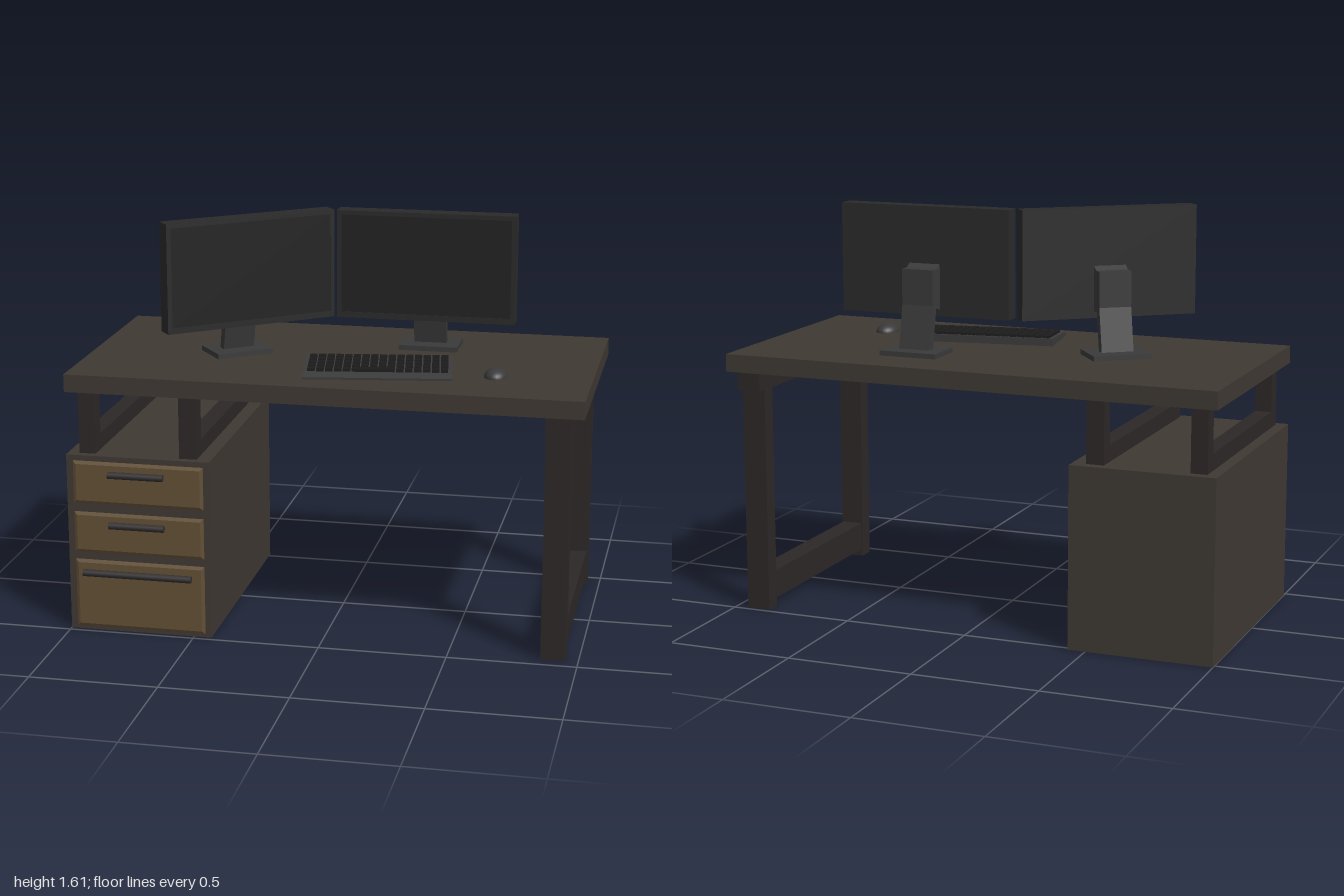
import * as THREE from 'three';
import { mergeGeometries } from 'three/addons/utils/BufferGeometryUtils.js';

const mat = (color) => new THREE.MeshStandardMaterial({ color });
const wood = mat(0x3f3933), steel = mat(0x2d2828), tan = mat(0x635036);
const shell = mat(0x2a2a2a), screenMat = mat(0x222222), stand = mat(0x3a3a3a);
const keyMat = mat(0x1c1c1c), handleMat = mat(0x332f30);

function add(parent, name, geometry, material) {
  const mesh = new THREE.Mesh(geometry, material);
  mesh.name = name;
  parent.add(mesh);
  return mesh;
}

// Box from its limits on each axis
function boxGeo([x0, x1], [y0, y1], [z0, z1]) {
  return new THREE.BoxGeometry(x1 - x0, y1 - y0, z1 - z0)
    .translate((x0 + x1) / 2, (y0 + y1) / 2, (z0 + z1) / 2);
}
const box = (parent, name, x, y, z, material) => add(parent, name, boxGeo(x, y, z), material);

// Side profile of [z, y] points, extruded across x and centred on x = 0
function profile(points, width) {
  const shape = new THREE.Shape(points.map(([z, y]) => new THREE.Vector2(z, y)));
  return new THREE.ExtrudeGeometry(shape, { depth: width, bevelEnabled: false })
    .rotateY(-Math.PI / 2).translate(width / 2, 0, 0);
}

function rectangle(path, x0, y0, x1, y1) {
  path.moveTo(x0, y0).lineTo(x1, y0).lineTo(x1, y1).lineTo(x0, y1).closePath();
  return path;
}

// Drawer front with a bevelled face and a round bar handle
function makeDrawer(y0, y1, handleY, handleX0, handleX1) {
  const drawer = new THREE.Group();
  drawer.name = 'drawer';
  const shape = rectangle(new THREE.Shape(), -0.96, y0 + 0.015, -0.465, y1 - 0.015);
  const front = new THREE.ExtrudeGeometry(shape, {
    depth: 0.004, bevelSize: 0.012, bevelThickness: 0.006, bevelSegments: 1,
  }).translate(0, 0, 0.482);
  add(drawer, 'drawerFront', front, tan);
  const length = handleX1 - handleX0;
  const bar = add(drawer, 'handleBar',
    new THREE.CylinderGeometry(0.014, 0.014, length, 12).rotateZ(Math.PI / 2), handleMat);
  bar.position.set((handleX0 + handleX1) / 2, handleY, 0.51);
  for (const x of [handleX0 + 0.03, handleX1 - 0.03])
    box(drawer, 'handlePost', [x - 0.008, x + 0.008], [handleY - 0.008, handleY + 0.008], [0.48, 0.51], handleMat);
  return drawer;
}

// Monitor with its front face centred on the local z = 0 plane
function makeMonitor(x, z, angle) {
  const monitor = new THREE.Group();
  monitor.name = 'monitor';
  box(monitor, 'monitorBody', [-0.355, 0.355], [0.14, 0.57], [-0.07, -0.006], shell);
  const frame = rectangle(new THREE.Shape(), -0.355, 0.14, 0.355, 0.57);
  frame.holes.push(rectangle(new THREE.Path(), -0.337, 0.163, 0.337, 0.553));
  add(monitor, 'bezel', new THREE.ExtrudeGeometry(frame, { depth: 0.006, bevelEnabled: false })
    .translate(0, 0, -0.006), shell);
  box(monitor, 'screen', [-0.337, 0.337], [0.163, 0.553], [-0.008, -0.003], screenMat);
  add(monitor, 'standNeck', profile([
    [-0.07, 0.345], [-0.095, 0.33], [-0.14, 0.33], [-0.14, 0.19], [-0.175, 0.018],
    [-0.14, 0.018], [-0.107, 0.175], [-0.07, 0.165],
  ], 0.13), stand);
  box(monitor, 'standBase', [-0.118, 0.118], [0, 0.02], [-0.24, -0.07], stand);
  monitor.position.set(x, 1.035, z);
  monitor.rotation.y = angle;
  return monitor;
}

function makeKeyboard() {
  const keyboard = new THREE.Group();
  keyboard.name = 'keyboard';
  add(keyboard, 'keyboardBody', profile([
    [0.13, 0], [0.13, 0.008], [0.09, 0.02], [-0.13, 0.03], [-0.13, 0],
  ], 0.572), stand);
  const keys = [], columns = 16, pitch = 0.034;
  for (let row = 0; row < 5; row++) {
    const z = -0.1 + row * 0.042, y = 0.031 - row * 0.0019;
    for (let c = 0; c < columns; c++) {
      // The bottom row holds one long space bar
      if (row === 4 && c > 4 && c < 10) continue;
      const x = (c - (columns - 1) / 2) * pitch;
      keys.push(boxGeo([x - 0.014, x + 0.014], [y - 0.008, y + 0.008], [z - 0.017, z + 0.017]));
    }
    if (row === 4) keys.push(boxGeo([-0.099, 0.065], [y - 0.008, y + 0.008], [z - 0.017, z + 0.017]));
  }
  add(keyboard, 'keys', mergeGeometries(keys), keyMat);
  keyboard.position.set(0.176, 1.035, 0.198);
  keyboard.rotation.y = 0.149;
  return keyboard;
}

export function createModel() {
  const model = new THREE.Group();
  model.name = 'desk';

  box(model, 'tabletop', [-1, 1], [0.965, 1.035], [-0.52, 0.48], wood);

  // Open leg frame at the left end
  const legFrame = new THREE.Group();
  legFrame.name = 'legFrame';
  model.add(legFrame);
  const postDepths = [[0.38, 0.45], [-0.48, -0.415]];
  for (const z of postDepths) box(legFrame, 'leg', [0.855, 0.95], [0, 0.9], z, steel);
  box(legFrame, 'topRail', [0.855, 0.95], [0.895, 0.965], [-0.52, 0.48], steel);
  box(legFrame, 'bottomRail', [0.86, 0.945], [0.03, 0.145], [-0.415, 0.38], steel);

  // Drawer cabinet and the short posts that carry the top
  const cabinet = new THREE.Group();
  cabinet.name = 'cabinet';
  model.add(cabinet);
  box(cabinet, 'cabinetBody', [-1, -0.43], [0, 0.715], [-0.52, 0.48], wood);
  for (const x of [[-0.955, -0.89], [-0.555, -0.485]]) {
    for (const z of postDepths) box(cabinet, 'supportPost', x, [0.715, 0.965], z, steel);
    box(cabinet, 'supportRail', x, [0.715, 0.78], [-0.415, 0.38], steel);
  }
  cabinet.add(
    makeDrawer(0.52, 0.697, 0.65, -0.825, -0.605),
    makeDrawer(0.32, 0.49, 0.445, -0.825, -0.605),
    makeDrawer(0.012, 0.295, 0.245, -0.935, -0.5),
  );

  model.add(makeMonitor(0.31, -0.085, 0), makeMonitor(-0.338, 0.122, 0.656), makeKeyboard());

  // Domed mouse with a flat base
  const mouse = add(model, 'mouse', mergeGeometries([
    new THREE.SphereGeometry(1, 24, 10, 0, Math.PI * 2, 0, Math.PI / 2),
    new THREE.CircleGeometry(1, 24).rotateX(Math.PI / 2),
  ]), stand);
  mouse.scale.set(0.045, 0.034, 0.06);
  mouse.position.set(0.63, 1.036, 0.185);

  return model;
}
